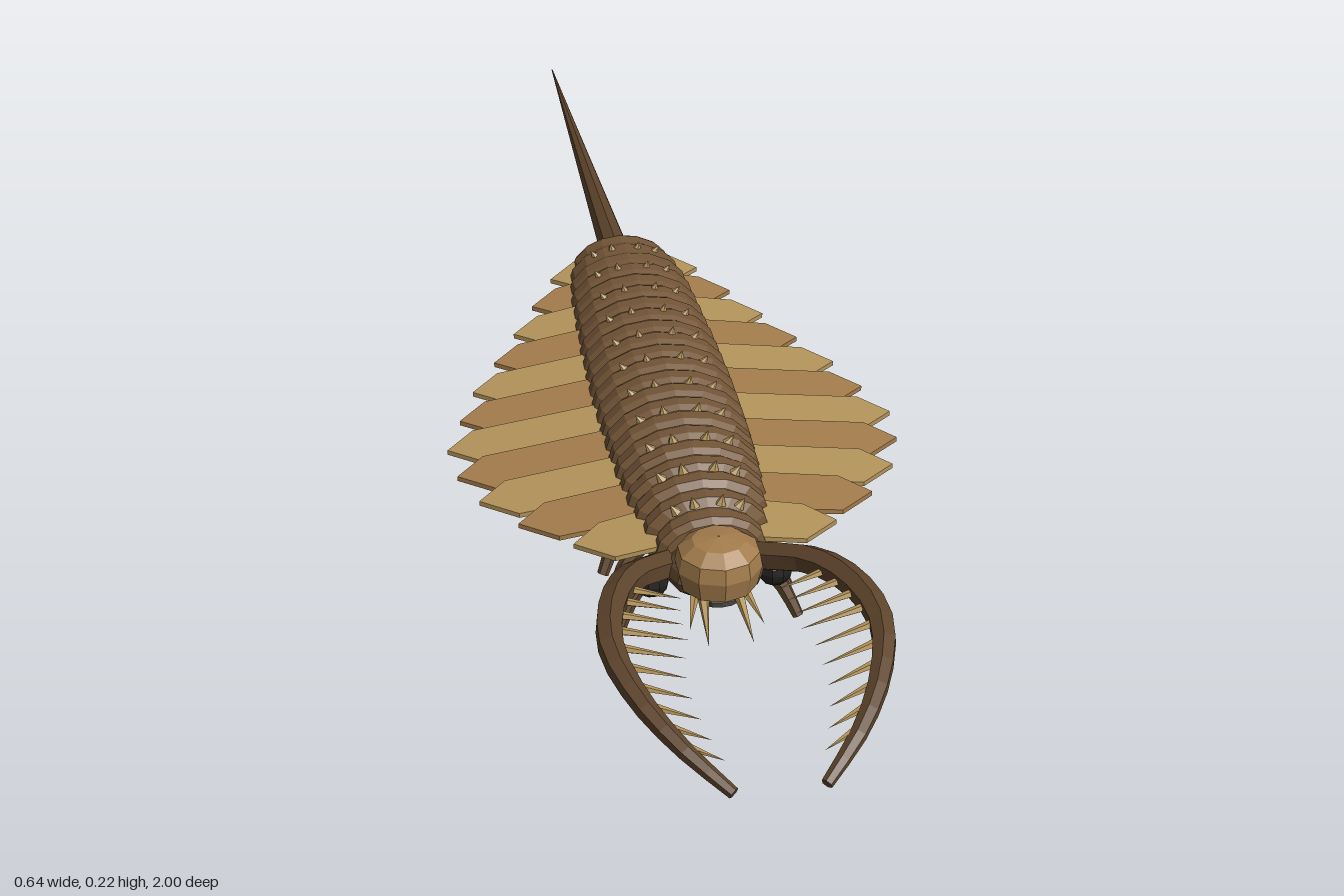
import * as THREE from 'three';

const mat = (color) => new THREE.MeshStandardMaterial({ color, flatShading: true, side: THREE.DoubleSide });
const shell = mat(0x745638), dark = mat(0x5f452d), plate = mat(0xa37c4c);
const tan = mat(0xb2935a), black = mat(0x24211e), grey = mat(0x55504a);
const V = (x, y, z) => new THREE.Vector3(x, y, z);

function add(parent, name, geometry, material) {
  const mesh = new THREE.Mesh(geometry, material);
  mesh.name = name;
  parent.add(mesh);
  return mesh;
}

// Tube along points whose radius follows a rule; the end rings collapse into caps
function taperedTube(points, radiusAt, sides = 6, steps = 10) {
  const curve = new THREE.CatmullRomCurve3(points);
  const n = steps + 2;
  const geo = new THREE.TubeGeometry(curve, n, 1, sides, false);
  const pos = geo.attributes.position;
  const v = new THREE.Vector3();
  for (let i = 0; i <= n; i++) {
    const centre = curve.getPointAt(i / n);
    const u = Math.min(1, Math.max(0, (i - 1) / (n - 2)));
    const target = curve.getPointAt(u);
    const r = i === 0 || i === n ? 0 : radiusAt(u);
    for (let j = 0; j <= sides; j++) {
      const k = i * (sides + 1) + j;
      v.fromBufferAttribute(pos, k).sub(centre).multiplyScalar(r).add(target);
      pos.setXYZ(k, v.x, v.y, v.z);
    }
  }
  geo.computeVertexNormals();
  return geo;
}

// Cone running from a base point to its tip
function spike(parent, name, from, to, radius, material) {
  const d = to.clone().sub(from);
  const mesh = add(parent, name, new THREE.ConeGeometry(radius, d.length(), 5), material);
  mesh.position.copy(from).addScaledVector(d, 0.5);
  mesh.quaternion.setFromUnitVectors(V(0, 1, 0), d.normalize());
}

const SEGMENTS = 11, PITCH = 0.07;
const segZ = (i) => 0.49 - i * PITCH;
const BODY_Y = 0.136;
const outline = new THREE.CatmullRomCurve3([
  V(0.07, -0.265, 0), V(0.088, -0.19, 0), V(0.1, -0.03, 0), V(0.106, 0.15, 0),
  V(0.102, 0.35, 0), V(0.09, 0.46, 0), V(0.07, 0.53, 0),
]).getPoints(100);
const bodyRadius = (z) => outline.reduce((a, p) => (Math.abs(p.y - z) < Math.abs(a.y - z) ? p : a)).x;

function addBody(model) {
  // Ridged shell turned around the long axis
  const profile = [new THREE.Vector2(0.001, -0.265)];
  const rings = SEGMENTS * 2;
  const step = 0.795 / rings;
  for (let i = 0; i < rings; i++) {
    const z = -0.265 + i * step;
    const r = bodyRadius(z + step / 2);
    profile.push(new THREE.Vector2(r * 0.94, z), new THREE.Vector2(r, z + step * 0.25),
      new THREE.Vector2(r, z + step * 0.75));
  }
  profile.push(new THREE.Vector2(0.065, 0.53), new THREE.Vector2(0.001, 0.535));
  const geo = new THREE.LatheGeometry(profile, 16);
  geo.rotateX(Math.PI / 2).scale(1, 0.7, 1).translate(0, BODY_Y, 0);
  add(model, 'body', geo, shell);

  // Four small knobs across the back of every segment
  for (let i = 0; i < SEGMENTS; i++) {
    for (const a of [-0.6, -0.24, 0.24, 0.6]) {
      const z = segZ(i), r = bodyRadius(z);
      const knob = add(model, 'backKnob', new THREE.ConeGeometry(0.008, 0.016, 6), tan);
      knob.position.set(Math.sin(a) * r, BODY_Y + Math.cos(a) * r * 0.7 + 0.002, z);
      knob.rotation.z = -a;
    }
  }

  // Long tail spine
  add(model, 'tail', taperedTube([V(0, 0.137, -0.24), V(0, 0.126, -0.5), V(0, 0.116, -0.75), V(0, 0.107, -1)],
    (u) => 0.024 * (1 - u) + 0.001, 8, 12), dark);
}

// Side flaps: kite-ended blades that overlap down the body
const flapSpan = [0.18, 0.245, 0.29, 0.312, 0.318, 0.292, 0.265, 0.225, 0.187, 0.15, 0.112];
function flapGeometry(span) {
  const shape = new THREE.Shape([
    [0.05, -0.035], [span - 0.05, -0.042], [span, 0], [span - 0.04, 0.036], [0.05, 0.05],
  ].map(([x, y]) => new THREE.Vector2(x, y)));
  const geo = new THREE.ExtrudeGeometry(shape, { depth: 0.007, bevelEnabled: false });
  geo.rotateX(-Math.PI / 2);
  const pos = geo.attributes.position;
  for (let k = 0; k < pos.count; k++) {
    const x = pos.getX(k);
    pos.setY(k, pos.getY(k) + 0.148 - 0.1 * x - 0.07 * pos.getZ(k));
  }
  geo.computeVertexNormals();
  return geo;
}

function addSide() {
  const side = new THREE.Group();
  for (let i = 0; i < SEGMENTS; i++) {
    const z = segZ(i);
    add(side, 'flap', flapGeometry(flapSpan[i]), i % 2 ? plate : tan).position.z = z - 0.01;
    // Walking leg, bent at the knee
    add(side, 'leg', taperedTube([V(0.03, 0.1, z - 0.015), V(0.07, 0.085, z - 0.01),
      V(0.102, 0.05, z), V(0.124, 0.005, z + 0.018)], (u) => 0.016 - 0.008 * u, 6, 6), dark);
  }

  // Curved grasping arm with inward spines
  const armPoints = [V(0.065, 0.128, 0.535), V(0.125, 0.16, 0.605), V(0.162, 0.174, 0.69),
    V(0.174, 0.173, 0.78), V(0.15, 0.155, 0.87), V(0.11, 0.132, 0.94), V(0.058, 0.101, 0.995)];
  add(side, 'graspingArm', taperedTube(armPoints, (u) => 0.021 - 0.013 * u * u, 6, 14), dark);
  const arm = new THREE.CatmullRomCurve3(armPoints);
  for (let i = 0; i < 10; i++) {
    const u = 0.24 + i * 0.065;
    const from = arm.getPointAt(u);
    const reach = 0.1 - 0.045 * Math.abs(i - 3) / 6;
    const to = from.clone().add(V(-reach, -0.012, 0.02 + 0.001 * i));
    spike(side, 'armSpine', from, to, 0.007, tan);
  }

  // Eye and mouth fangs
  add(side, 'eye', new THREE.SphereGeometry(0.025, 10, 8), black).position.set(0.084, 0.107, 0.535);
  spike(side, 'fang', V(0.024, 0.112, 0.595), V(0.03, 0.086, 0.672), 0.008, tan);
  spike(side, 'fang', V(0.034, 0.11, 0.585), V(0.05, 0.092, 0.64), 0.007, tan);
  return side;
}

function addHead(model) {
  const base = add(model, 'headBase', new THREE.SphereGeometry(1, 10, 8), dark);
  base.scale.set(0.07, 0.036, 0.06);
  base.position.set(0, 0.126, 0.545);
  // Domed head plate
  const profile = [[0.001, 0.12], [0.052, 0.12], [0.059, 0.15], [0.055, 0.172], [0.036, 0.187], [0.001, 0.192]];
  const dome = new THREE.LatheGeometry(profile.map(([r, y]) => new THREE.Vector2(r, y)), 10);
  dome.scale(1, 1, 0.95).translate(0, 0, 0.573);
  add(model, 'headPlate', dome, plate);
  const mouth = add(model, 'mouth', new THREE.TorusGeometry(0.02, 0.009, 6, 12), grey);
  mouth.rotation.x = Math.PI / 2 - 0.3;
  mouth.position.set(0, 0.102, 0.582);
}

export function createModel() {
  const model = new THREE.Group();
  model.name = 'seaCreature';
  addBody(model);
  addHead(model);
  for (const s of [1, -1]) {
    const side = addSide();
    side.name = s > 0 ? 'leftSide' : 'rightSide';
    side.scale.x = s;
    model.add(side);
  }
  return model;
}
